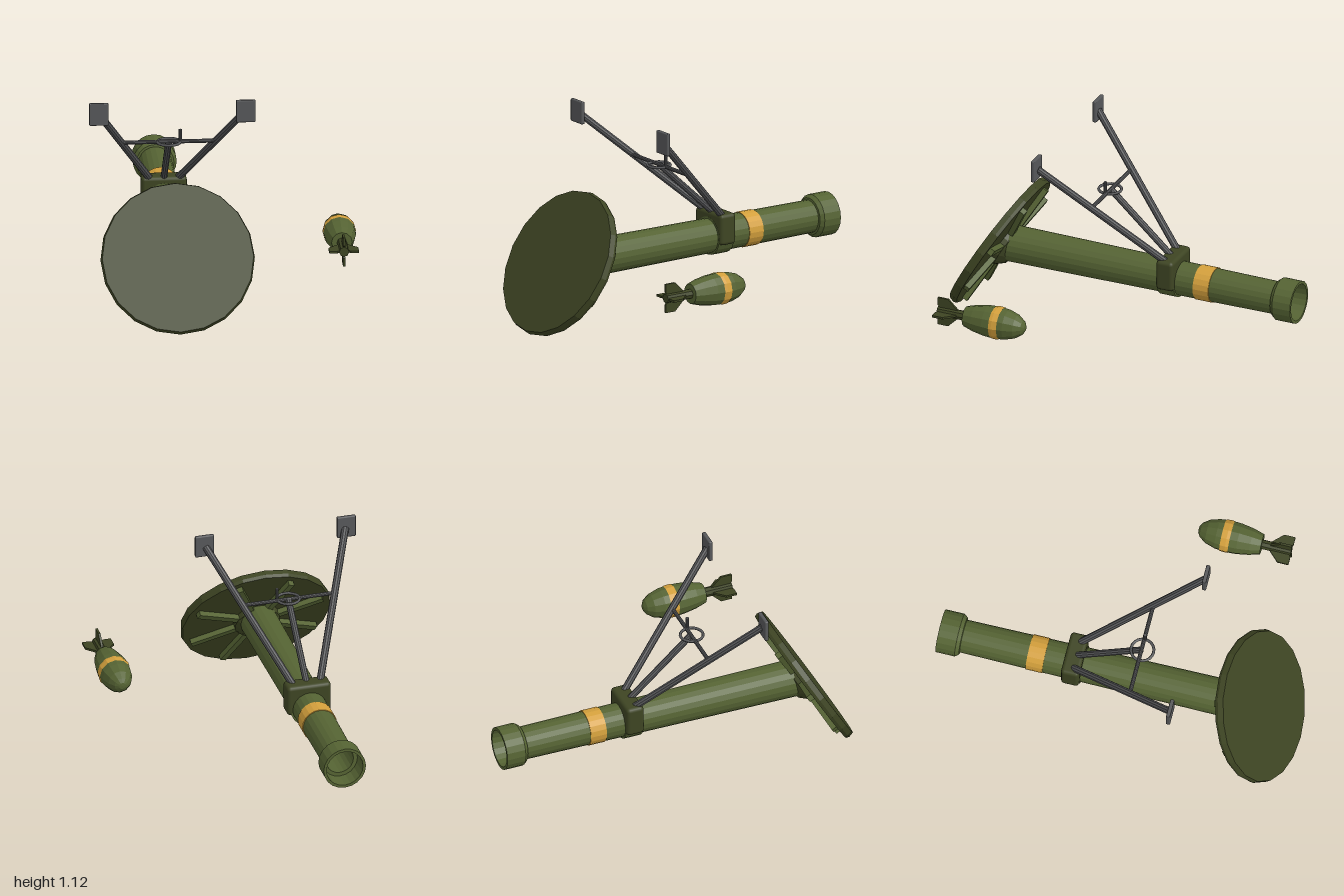
import * as THREE from 'three';
import { RoundedBoxGeometry } from 'three/addons/geometries/RoundedBoxGeometry.js';

const paint = (name, color) => {
  const m = new THREE.MeshStandardMaterial({ color });
  m.name = name;
  return m;
};

// faceted version of a geometry
const flat = (geo) => {
  const g = geo.index ? geo.toNonIndexed() : geo;
  g.computeVertexNormals();
  return g;
};

const lathe = (points, sides) =>
  flat(new THREE.LatheGeometry(points.map(([r, y]) => new THREE.Vector2(r, y)), sides));

export function createModel() {
  const green = paint('olive green', 0x556333);
  const dark = paint('dark olive', 0x3e4523);
  const gold = paint('gold', 0xd4a03c);
  const grey = paint('gun grey', 0x57585a);

  const model = new THREE.Group();
  model.name = 'mortar';

  const add = (parent, name, geo, mat, x = 0, y = 0, z = 0) => {
    const mesh = new THREE.Mesh(geo, mat);
    mesh.name = name;
    mesh.position.set(x, y, z);
    parent.add(mesh);
    return mesh;
  };
  const rod = (parent, name, a, b, r, mat) => {
    const from = new THREE.Vector3(...a), to = new THREE.Vector3(...b);
    const dir = to.clone().sub(from);
    const mesh = add(parent, name, flat(new THREE.CylinderGeometry(r, r, dir.length(), 10)), mat);
    mesh.position.copy(from).add(to).multiplyScalar(0.5);
    mesh.quaternion.setFromUnitVectors(new THREE.Vector3(0, 1, 0), dir.normalize());
    return mesh;
  };

  // everything on the weapon is placed relative to its centre plane
  const weapon = new THREE.Group();
  weapon.name = 'weapon';
  weapon.position.x = -0.271;
  model.add(weapon);

  // barrel: local y runs towards the muzzle at -z
  const barrel = new THREE.Group();
  barrel.name = 'barrel';
  barrel.position.y = 0.365;
  barrel.rotation.x = -Math.PI / 2;
  weapon.add(barrel);
  add(barrel, 'tube', lathe([
    [0, -0.74], [0.102, -0.74], [0.09, 0.87], [0.102, 0.872], [0.118, 0.892], [0.118, 0.998],
    [0.102, 0.998], [0.098, 0.9], [0.076, 0.9], [0.076, 0.2], [0, 0.2],
  ], 20), green);
  add(barrel, 'barrelBand', flat(new THREE.CylinderGeometry(0.097, 0.097, 0.092, 20)), gold, 0, 0.458);
  add(barrel, 'collar', flat(new THREE.CylinderGeometry(0.105, 0.105, 0.1, 20)), green, 0, 0.253);
  add(weapon, 'clamp', new RoundedBoxGeometry(0.245, 0.172, 0.1, 2, 0.02), dark, 0, 0.417, -0.254);

  // base plate with radial ribs and a socket on its inner side
  const base = new THREE.Group();
  base.name = 'basePlate';
  base.position.set(0, 0.368, 0.773);
  base.rotation.x = Math.PI / 3;
  weapon.add(base);
  add(base, 'plate', lathe([
    [0, -0.024], [0.41, -0.024], [0.416, -0.006], [0.408, 0.024], [0, 0.024],
  ], 20), dark);
  add(base, 'socket', lathe([[0, -0.1], [0.08, -0.1], [0.125, -0.055], [0.13, -0.02]], 16), dark);
  for (let i = 0; i < 8; i++) {
    const spoke = new THREE.Group();
    spoke.name = 'ribArm';
    spoke.rotation.y = (i + 0.5) * Math.PI / 4;
    add(spoke, 'rib', new THREE.BoxGeometry(0.3, 0.036, 0.034), green, 0.225, -0.036, 0);
    base.add(spoke);
  }

  // bipod
  const bipod = new THREE.Group();
  bipod.name = 'bipod';
  weapon.add(bipod);
  for (const s of [1, -1]) {
    const side = s > 0 ? 'left' : 'right';
    rod(bipod, side + 'Leg', [s * 0.072, 0.48, -0.25], [s * 0.39, 1.055, 0.37], 0.02, grey);
    add(bipod, side + 'Foot', new RoundedBoxGeometry(0.105, 0.125, 0.022, 1, 0.006), grey, s * 0.396, 1.062, 0.374);
  }
  rod(bipod, 'centreStrut', [0, 0.48, -0.25], [0, 0.81, 0.115], 0.018, grey);
  rod(bipod, 'crossbar', [-0.255, 0.812, 0.115], [0.255, 0.812, 0.115], 0.011, grey);

  // adjusting wheel and its crank
  const wheel = add(bipod, 'handWheel', new THREE.TorusGeometry(0.062, 0.008, 6, 20), grey, 0, 0.812, 0.12);
  wheel.rotation.x = Math.PI / 2;
  rod(bipod, 'crankHandle', [0.062, 0.81, 0.12], [0.062, 0.882, 0.12], 0.009, grey);

  // loose shell: local y runs towards the nose at -z
  const shell = new THREE.Group();
  shell.name = 'shell';
  shell.position.set(0.63, 0.365, 0);
  shell.rotation.x = -Math.PI / 2;
  model.add(shell);
  add(shell, 'shellBody', lathe([
    [0, -0.557], [0.056, -0.557], [0.073, -0.5], [0.085, -0.43], [0.088, -0.37],
    [0.082, -0.31], [0.065, -0.255], [0.04, -0.22], [0.018, -0.207], [0, -0.205],
  ], 12), green);
  add(shell, 'shellBand', lathe([[0.0885, -0.387], [0.0905, -0.37], [0.088, -0.34]], 12), gold);
  add(shell, 'tailBoom', flat(new THREE.CylinderGeometry(0.027, 0.027, 0.17, 8)), dark, 0, -0.635);

  // four swept tail fins
  const finShape = new THREE.Shape([
    [0.01, -0.605], [0.026, -0.605], [0.08, -0.66], [0.08, -0.722], [0.036, -0.722], [0.01, -0.7],
  ].map(([x, y]) => new THREE.Vector2(x, y)));
  const finGeo = new THREE.ExtrudeGeometry(finShape, { depth: 0.012, bevelEnabled: false });
  finGeo.translate(0, 0, -0.006);
  for (let i = 0; i < 4; i++) {
    add(shell, 'fin', finGeo, dark).rotation.y = i * Math.PI / 2;
  }

  return model;
}
